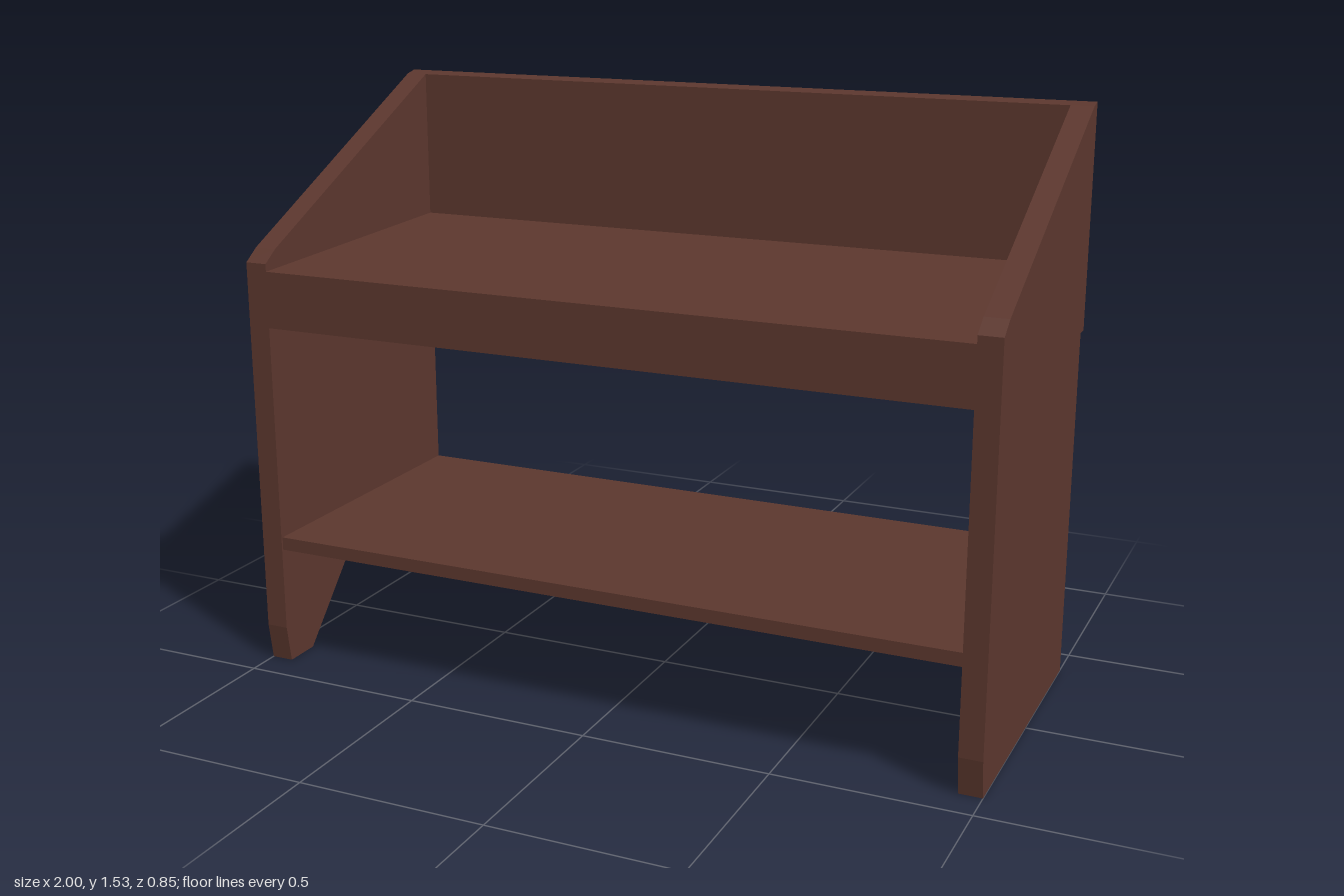
import * as THREE from 'three';

export function createModel() {
  const group = new THREE.Group();
  group.name = 'pottingBench';
  const wood = new THREE.MeshStandardMaterial({ color: 0x5c372e });
  wood.name = 'darkBrownWood';

  const add = (name, geometry) => {
    const mesh = new THREE.Mesh(geometry, wood);
    mesh.name = name;
    group.add(mesh);
  };

  // Plank cut from a (z, y) outline, spanning x0 to x1
  const plank = (name, outline, x0, x1) => {
    const shape = new THREE.Shape(outline.map(([z, y]) => new THREE.Vector2(z, y)));
    const geometry = new THREE.ExtrudeGeometry(shape, { depth: x1 - x0, bevelEnabled: false });
    geometry.rotateY(-Math.PI / 2);
    geometry.translate(x1, 0, 0);
    add(name, geometry);
  };

  // Side panels: sloping top, clipped front corners, V cut between the feet
  const notch = [[-0.3, 0], [0.07, 0.265], [0.31, 0]];
  const side = [
    [-0.39, 0], ...notch, [0.41, 0], [0.425, 0.1],
    [0.425, 1.11], [0.38, 1.142], [-0.39, 1.522],
  ];
  plank('leftSidePanel', side, 0.94, 1);
  plank('rightSidePanel', side, -1, -0.94);

  // Thin sheet closing the V cut on the outside of the left panel
  plank('leftNotchCover', notch, 0.995, 1);

  // Tall back board, with its top following the slope of the sides
  plank('backBoard', [[-0.425, 0.94], [-0.39, 0.94], [-0.39, 1.522], [-0.425, 1.53]], -1, 1);

  // Tray floor with its front rail in one bent piece
  plank('trayAndFrontRail', [
    [0.39, 0.94], [0.425, 0.94], [0.425, 1.09], [-0.39, 1.115], [-0.39, 1.075], [0.39, 1.06],
  ], -0.94, 0.94);

  // Lower shelf
  plank('lowerShelf', [[-0.39, 0.325], [0.42, 0.325], [0.42, 0.36], [-0.39, 0.36]], -0.94, 0.94);

  return group;
}
